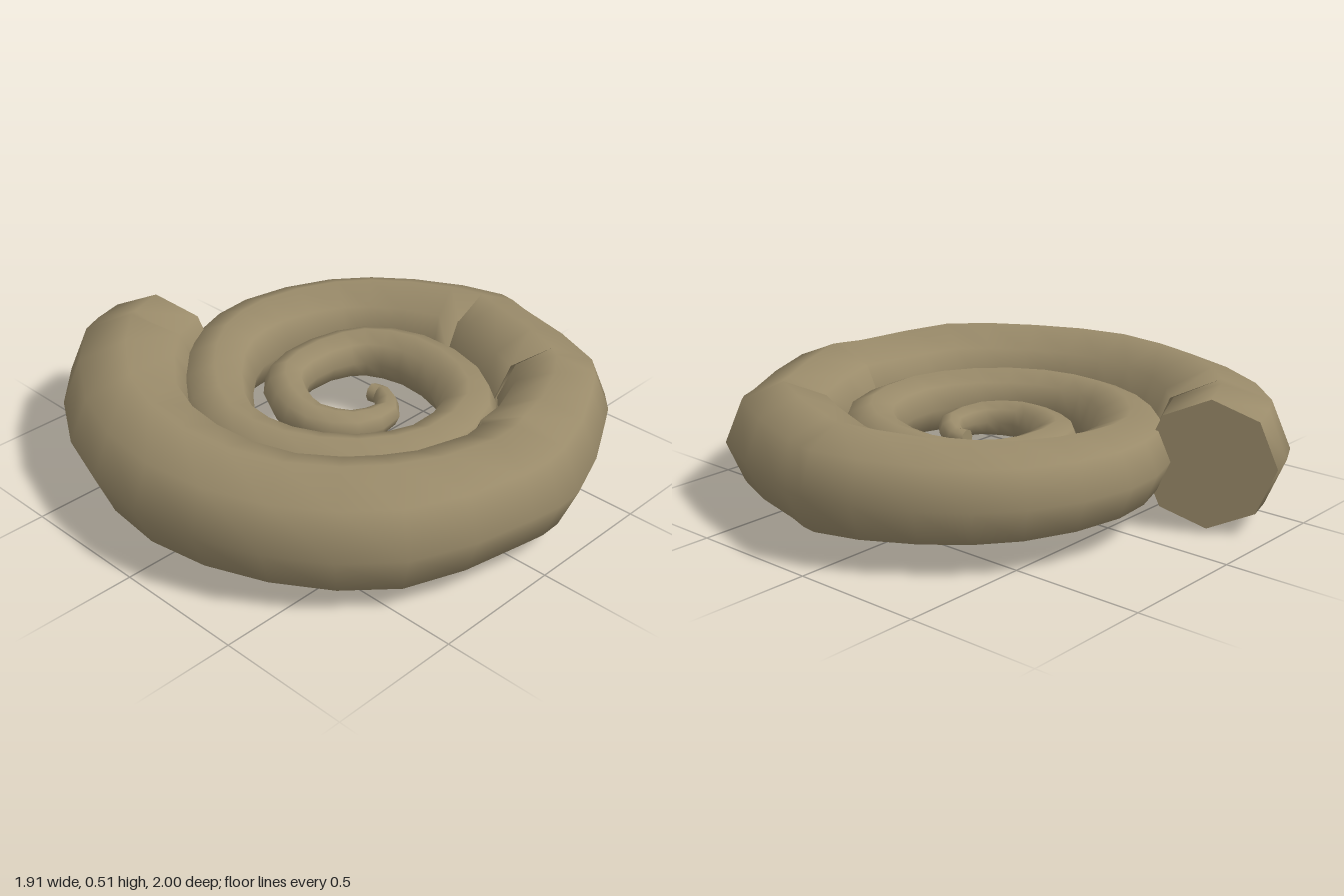
import * as THREE from 'three';

const SIDES = 8;
const CENTER_Y = 0.257;

// Outer edge of the coil from the wide mouth to the tip: x, z, tube radius
const EDGE = [
  [-0.30, -1.00, 0.238], [-0.53, -0.91, 0.255], [-0.85, -0.49, 0.232], [-0.96, 0.00, 0.228],
  [-0.83, 0.48, 0.22], [-0.52, 0.84, 0.225], [-0.06, 0.98, 0.208], [0.17, 0.99, 0.225],
  [0.58, 0.80, 0.195], [0.76, 0.67, 0.218], [0.92, 0.21, 0.20], [0.955, 0.05, 0.205],
  [0.81, -0.33, 0.19], [0.56, -0.60, 0.178], [0.18, -0.73, 0.168], [-0.13, -0.67, 0.155],
  [-0.39, -0.44, 0.14], [-0.54, -0.15, 0.128], [-0.52, 0.17, 0.125], [-0.33, 0.45, 0.122],
  [-0.03, 0.59, 0.118], [0.31, 0.52, 0.115], [0.50, 0.30, 0.112], [0.55, -0.03, 0.107],
  [0.43, -0.27, 0.10], [0.20, -0.36, 0.091], [-0.06, -0.32, 0.088], [-0.19, -0.15, 0.08],
  [-0.22, 0.05, 0.073], [-0.10, 0.22, 0.065], [0.10, 0.23, 0.052], [0.20, 0.09, 0.038],
  [0.19, 0.03, 0.036],
];

// One ring of points for each step, offset inwards from the outer edge
function makeRings() {
  const curve = new THREE.CatmullRomCurve3(EDGE.map(([x, z, r]) => new THREE.Vector3(x, r, z)));
  const steps = (EDGE.length - 1) * 2;
  const rings = [];
  for (let i = 0; i <= steps; i++) {
    const p = curve.getPoint(i / steps);
    const t = curve.getTangent(i / steps);
    const inward = new THREE.Vector3(t.z, 0, -t.x).normalize();
    if (i === 0) inward.set(0.467, 0, 0.884); // slanted cut at the mouth
    const r = p.y;
    const ring = [];
    for (let k = 0; k < SIDES; k++) {
      const a = (k / SIDES) * Math.PI * 2;
      const d = r * (1 - Math.cos(a));
      ring.push(new THREE.Vector3(p.x + inward.x * d, CENTER_Y + r * Math.sin(a), p.z + inward.z * d));
    }
    rings.push(ring);
  }
  return rings;
}

function meshFrom(name, points, index, material) {
  const geometry = new THREE.BufferGeometry().setFromPoints(points);
  geometry.setIndex(index);
  geometry.computeVertexNormals();
  const mesh = new THREE.Mesh(geometry, material);
  mesh.name = name;
  return mesh;
}

// Flat fan closing one end of the tube
function makeCap(name, ring, flip, material) {
  const index = [];
  for (let k = 1; k < SIDES - 1; k++) index.push(0, flip ? k + 1 : k, flip ? k : k + 1);
  return meshFrom(name, ring, index, material);
}

export function createModel() {
  const group = new THREE.Group();
  group.name = 'spiralShell';
  const shell = new THREE.MeshStandardMaterial({ color: 0x9a8b6a });
  shell.name = 'shellTan';

  // Smooth coiled tube
  const rings = makeRings();
  const index = [];
  for (let i = 0; i < rings.length - 1; i++) {
    for (let k = 0; k < SIDES; k++) {
      const a = i * SIDES + k;
      const b = i * SIDES + ((k + 1) % SIDES);
      index.push(a, a + SIDES, b, b, a + SIDES, b + SIDES);
    }
  }
  group.add(meshFrom('coil', rings.flat(), index, shell));

  // Closed ends
  group.add(makeCap('mouthCap', rings[0], false, shell));
  group.add(makeCap('tipCap', rings[rings.length - 1], true, shell));
  return group;
}
